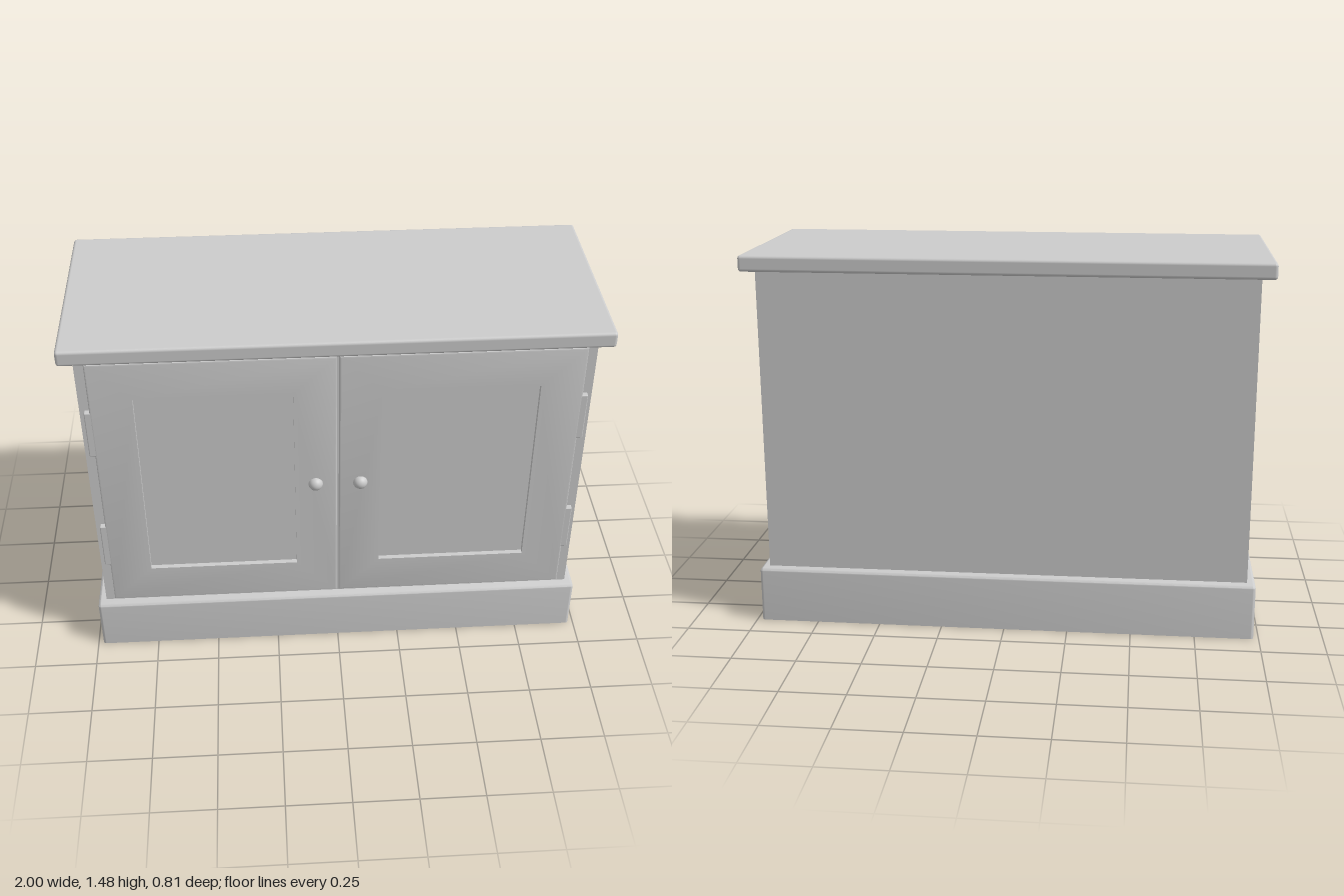
import * as THREE from 'three';
import { RoundedBoxGeometry } from 'three/addons/geometries/RoundedBoxGeometry.js';
import { toCreasedNormals } from 'three/addons/utils/BufferGeometryUtils.js';

const material = new THREE.MeshStandardMaterial({ color: 0xcccccc });

function add(parent, name, geometry, x = 0, y = 0, z = 0) {
  const mesh = new THREE.Mesh(geometry, material);
  mesh.name = name;
  mesh.position.set(x, y, z);
  parent.add(mesh);
  return mesh;
}

// Rounded plinth whose lower rounding is flattened onto the floor
function plinthGeometry(w, h, d, r) {
  const g = new RoundedBoxGeometry(w, h + r, d, 3, r);
  g.translate(0, (h - r) / 2, 0);
  const p = g.attributes.position;
  for (let i = 0; i < p.count; i++) p.setY(i, Math.max(0, p.getY(i)));
  return toCreasedNormals(g, 0.7);
}

// Door frame: softened outer edge, crisp rectangular opening
function doorFrameGeometry(w, h, rail, depth) {
  const b = 0.007, hx = w / 2 - rail, hy = h / 2 - rail;
  const rect = (path, x, y) => path.moveTo(-x, -y).lineTo(x, -y).lineTo(x, y).lineTo(-x, y).closePath();
  const shape = rect(new THREE.Shape(), w / 2, h / 2);
  shape.holes.push(rect(new THREE.Path(), hx, hy));
  const g = new THREE.ExtrudeGeometry(shape, {
    depth: depth - 2 * b, bevelEnabled: true, bevelThickness: b,
    bevelSize: b, bevelOffset: -b, bevelSegments: 3,
  });
  g.translate(0, 0, b);
  // Snap the opening's bevel back to a straight wall
  const p = g.attributes.position;
  for (let i = 0; i < p.count; i++) {
    const x = p.getX(i), y = p.getY(i);
    if (Math.abs(x) < hx + 0.03 && Math.abs(y) < hy + 0.03) {
      p.setXY(i, Math.sign(x) * hx, Math.sign(y) * hy);
    }
  }
  return toCreasedNormals(g, 0.7);
}

export function createModel() {
  const model = new THREE.Group();
  model.name = 'cabinet';

  // Carcass
  add(model, 'plinth', plinthGeometry(1.96, 0.22, 0.775, 0.012));
  add(model, 'body', new THREE.BoxGeometry(1.896, 1.21, 0.7), 0, 0.815, 0);
  add(model, 'top', new RoundedBoxGeometry(2, 0.062, 0.805, 3, 0.012), 0, 1.445, 0);

  // Doors with hinges and knobs, mirrored about the centre
  const frame = doorFrameGeometry(0.906, 1.157, 0.161, 0.027);
  for (const side of [-1, 1]) {
    const door = new THREE.Group();
    door.name = side > 0 ? 'leftDoor' : 'rightDoor';
    model.add(door);
    add(door, 'doorFrame', frame, side * 0.457, 0.819, 0.345);
    add(door, 'doorPanel', new THREE.BoxGeometry(0.6, 0.85, 0.006), side * 0.457, 0.819, 0.35);
    for (const y of [0.53, 1.083]) {
      add(door, 'hinge', new RoundedBoxGeometry(0.034, 0.2, 0.027, 2, 0.004), side * 0.914, y, 0.3575);
    }
    add(door, 'knob', new THREE.SphereGeometry(0.028, 24, 16), side * 0.086, 0.81, 0.37);
  }
  return model;
}
